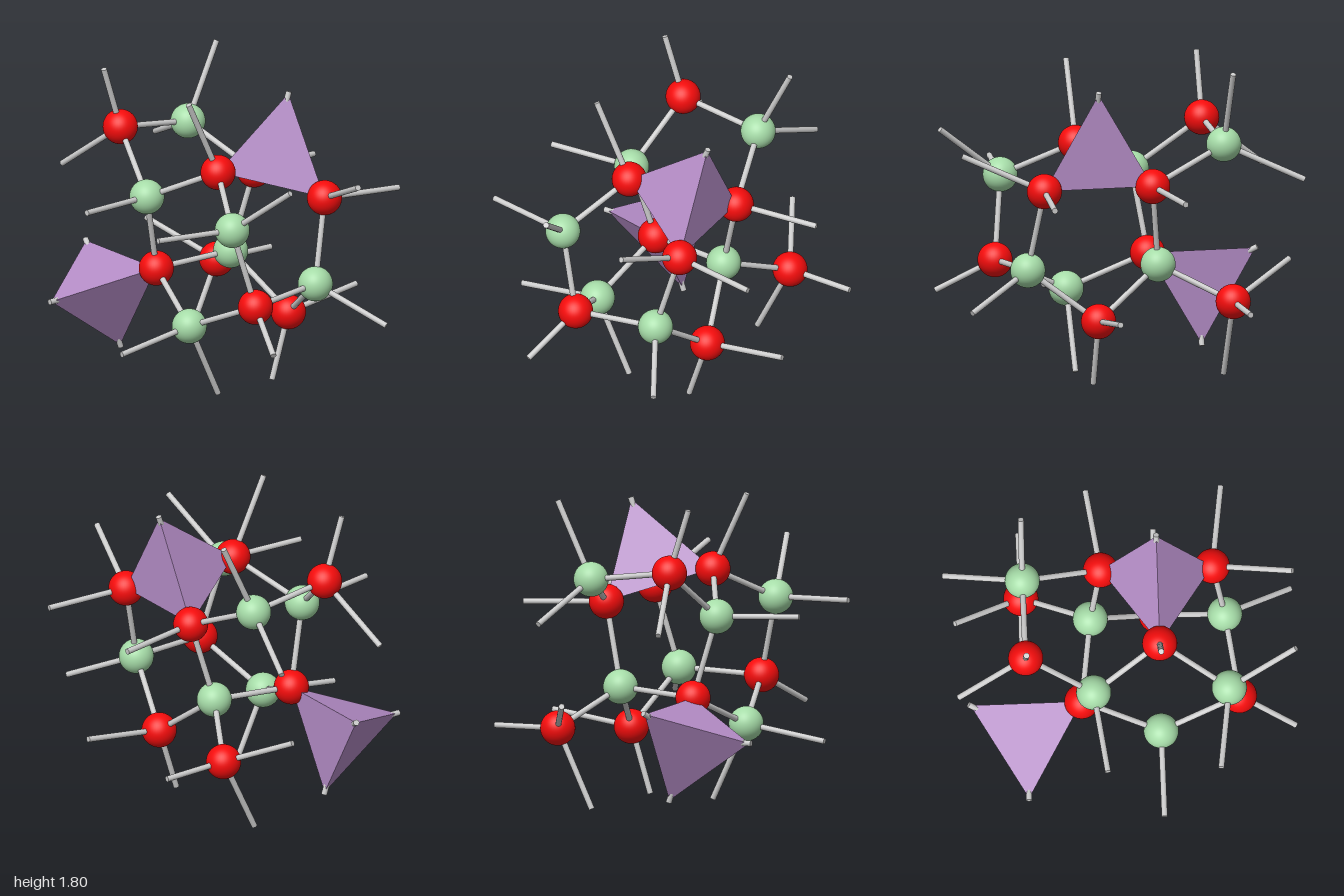
import * as THREE from 'three';
import { ConvexGeometry } from 'three/addons/geometries/ConvexGeometry.js';

const ATOM_R = 0.1, BOND_R = 0.017;
const mat = (color) => new THREE.MeshStandardMaterial({ color });
const red = mat(0xf50c0c), green = mat(0xa6dca8), grey = mat(0xcccccc);
const purple = mat(0xb48cc6);
purple.flatShading = true;
const V = (p) => new THREE.Vector3(...p);

// Atom centres
const redAtoms = {
  A: [-0.25, 1.43, -0.55], C: [0.455, 0.487, -0.55], E: [-0.245, 0.663, -0.23],
  G: [0.365, 1.157, -0.1], I: [-0.155, 1.335, 0.217], J: [0.36, 0.39, 0.217],
  L: [-0.245, 0.663, 0.667], N: [0.365, 1.157, 0.537],
};
const greenAtoms = {
  B: [0.245, 1.36, -0.55], D: [-0.365, 1.133, -0.167], F: [0.245, 0.683, -0.163],
  H: [-0.365, 0.457, 0.217], K: [-0.365, 1.133, 0.605], M: [0.245, 0.683, 0.603],
};
const atoms = { ...redAtoms, ...greenAtoms };

// Bonds between pairs of atoms
const pairs = 'AB AD BG CF DE DI EF EH FG FJ HL IK JM KL LM MN'.split(' ');

// Bonds that end in the open: [atom, end point]
const openBonds = [
  ['A', [-0.37, 1.8, -0.55]], ['A', [-0.365, 1.133, -0.935]],
  ['B', [0.455, 1.8, -0.55]], ['B', [0.365, 1.157, -0.995]],
  ['C', [0.85, 0.477, -0.55]], ['C', [0.24, 0.035, -0.55]], ['C', [0.245, 0.683, -0.935]],
  ['D', [-0.855, 1.155, -0.105]], ['K', [-0.855, 1.155, 0.54]],
  ['G', [0.855, 1.133, -0.167]], ['N', [0.855, 1.133, 0.603]],
  ['H', [-0.86, 0.39, 0.217]], ['H', [-0.155, 0.01, 0.217]],
  ['I', [-0.37, 1.785, 0.217]],
  ['J', [0.855, 0.455, 0.217]], ['J', [0.24, 0.01, 0.217]],
  ['K', [-0.25, 1.43, 0.99]], ['N', [0.245, 1.36, 0.99]],
  ['L', [-0.37, 0.48, 0.985]], ['M', [0.455, 0.487, 0.985]],
];

// Corners of the solid tetrahedra
const tetrahedra = [
  [atoms.G, atoms.N, atoms.I, [0.36, 1.7, 0.217]],
  [atoms.E, [-0.245, 0.663, -0.865], [-0.755, 0.485, -0.55], [-0.25, 0.12, -0.55]],
];

// Rod between two points, lengthened past the end by extra
function rod(a, b, name, extra = 0) {
  const dir = b.clone().sub(a), length = dir.length() + extra;
  dir.normalize();
  const mesh = new THREE.Mesh(new THREE.CylinderGeometry(BOND_R, BOND_R, length, 16), grey);
  mesh.position.copy(a).addScaledVector(dir, length / 2);
  mesh.quaternion.setFromUnitVectors(new THREE.Vector3(0, 1, 0), dir);
  mesh.name = name;
  return mesh;
}

export function createModel() {
  const model = new THREE.Group();
  model.name = 'crystalLattice';

  // Atoms
  const ball = new THREE.SphereGeometry(ATOM_R, 40, 28);
  for (const [set, material, name] of [[redAtoms, red, 'redAtom'], [greenAtoms, green, 'greenAtom']]) {
    for (const p of Object.values(set)) {
      const mesh = new THREE.Mesh(ball, material);
      mesh.position.set(...p);
      mesh.name = name;
      model.add(mesh);
    }
  }

  // Bonds
  for (const [a, b] of pairs) model.add(rod(V(atoms[a]), V(atoms[b]), 'bond'));
  for (const [a, end] of openBonds) model.add(rod(V(atoms[a]), V(end), 'openBond'));

  // Tetrahedra with bonds from their centres to just past the corners
  for (const corners of tetrahedra) {
    const points = corners.map(V);
    const centre = new THREE.Vector3();
    points.forEach((p) => centre.addScaledVector(p, 0.25));
    const solid = new THREE.Mesh(new ConvexGeometry(points), purple);
    solid.name = 'tetrahedron';
    model.add(solid);
    for (const p of points) model.add(rod(centre, p, 'cornerBond', 0.012));
  }
  return model;
}
